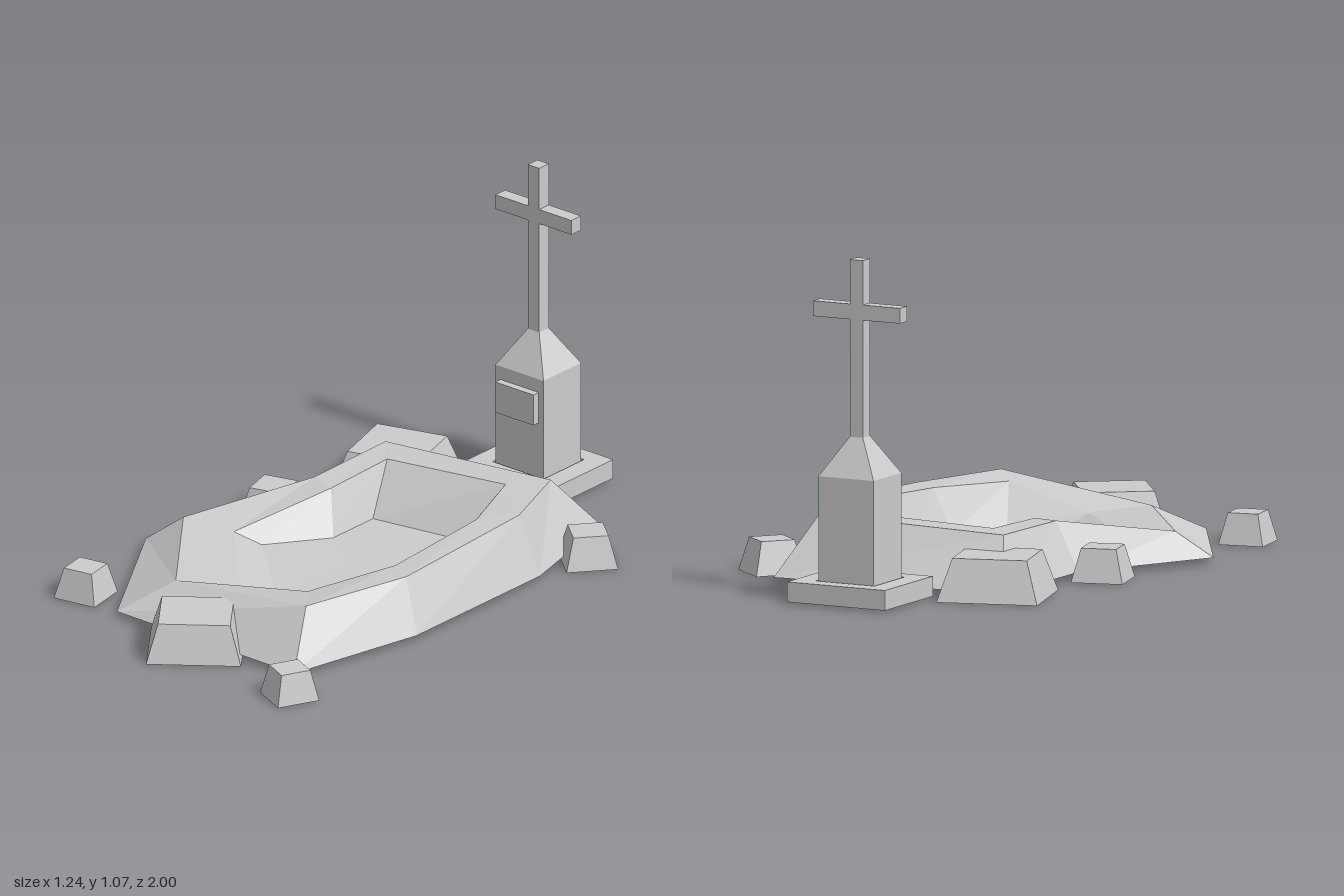
import * as THREE from 'three';

const stone = new THREE.MeshStandardMaterial({ color: 0xcccccc, flatShading: true });
const shell = new THREE.MeshStandardMaterial({ color: 0xcccccc, flatShading: true, side: THREE.DoubleSide });

function add(parent, name, geometry, x, y, z, material = stone) {
  const mesh = new THREE.Mesh(geometry, material);
  mesh.name = name;
  mesh.position.set(x, y, z);
  parent.add(mesh);
  return mesh;
}

// Box standing on y = 0 whose top is narrowed to the given width and depth
function taperedBox(w, h, d, topW, topD) {
  const g = new THREE.BoxGeometry(w, h, d).translate(0, h / 2, 0);
  const p = g.attributes.position;
  for (let i = 0; i < p.count; i++) {
    if (p.getY(i) > h / 2) {
      p.setX(i, Math.sign(p.getX(i)) * topW / 2);
      p.setZ(i, Math.sign(p.getZ(i)) * topD / 2);
    }
  }
  g.computeVertexNormals();
  return g;
}

// Mound shell: outer foot, crest, bowl rim and bowl floor, each clockwise from back left
function moundGeometry() {
  const foot = [[-0.385, 0.02, -0.62], [0.393, 0.02, -0.68], [0.497, 0.02, -0.26], [0.497, 0.02, 0.33],
    [0.393, 0.02, 0.795], [-0.33, 0.02, 0.785], [-0.62, 0.02, 0.3], [-0.385, 0.02, -0.14]];
  const crest = [[-0.3, 0.177, -0.47], [0.315, 0.202, -0.53], [0.413, 0.202, -0.26], [0.413, 0.178, 0.28],
    [0.315, 0.175, 0.645], [-0.22, 0.105, 0.633], [-0.515, 0.103, 0.245], [-0.3, 0.173, -0.13]];
  const rim = [[-0.21, 0.177, -0.37], [0.225, 0.198, -0.42], [0.327, 0.198, -0.16], [0.327, 0.175, 0.23],
    [0.225, 0.16, 0.53], [-0.06, 0.085, 0.52], [-0.35, 0.085, 0.2], [-0.21, 0.17, -0.1]];
  const floor = [[-0.15, 0.04, -0.23], [0.155, 0.04, -0.28], [0.243, 0.04, -0.1], [0.243, 0.04, 0.2],
    [0.155, 0.04, 0.39], [-0.03, 0.04, 0.38], [-0.27, 0.05, 0.16], [-0.15, 0.04, -0.04]];
  const rings = [foot, crest, rim, floor];
  const n = 8;
  const index = [];
  for (let r = 0; r < 3; r++) {
    for (let i = 0; i < n; i++) {
      const a = r * n + i, b = r * n + (i + 1) % n;
      index.push(a, a + n, b, b, a + n, b + n);
    }
  }
  // Bowl floor closed by a fan
  const centre = 4 * n;
  for (let i = 0; i < n; i++) index.push(3 * n + i, centre, 3 * n + (i + 1) % n);
  const g = new THREE.BufferGeometry();
  g.setAttribute('position', new THREE.Float32BufferAttribute([...rings.flat(2), 0.04, 0.04, 0.1], 3));
  g.setIndex(index);
  g.computeVertexNormals();
  return g;
}

// Slab with a square opening for the pillar
function plinthGeometry() {
  const square = (Path, w, d) => new Path([[-w, -d], [w, -d], [w, d], [-w, d]].map(([x, y]) => new THREE.Vector2(x, y)));
  const shape = square(THREE.Shape, 0.172, 0.155);
  shape.holes.push(square(THREE.Path, 0.103, 0.097));
  return new THREE.ExtrudeGeometry(shape, { depth: 0.063, bevelEnabled: false }).rotateX(-Math.PI / 2);
}

export function createModel() {
  const model = new THREE.Group();
  add(model, 'graveMound', moundGeometry(), 0, 0, 0, shell);

  // Loose stones: x, z, width, height, depth, turn, top scale
  const rocks = [
    [0.002, 0.8, 0.294, 0.122, 0.282, 0.64, 0.76],
    [-0.325, -0.555, 0.318, 0.133, 0.313, 0.287, 0.74],
    [0.509, -0.478, 0.162, 0.105, 0.154, 0.87, 0.68],
    [-0.515, 0.714, 0.145, 0.098, 0.143, 0.17, 0.68],
    [0.465, 0.902, 0.133, 0.098, 0.14, -0.445, 0.7],
    [-0.46, -0.122, 0.164, 0.105, 0.164, 0.26, 0.68],
  ];
  rocks.forEach(([x, z, w, h, d, turn, top], i) => {
    add(model, `rock${i + 1}`, taperedBox(w, h, d, w * top, d * top), x, 0, z).rotation.y = turn;
  });

  // Headstone
  const headstone = new THREE.Group();
  headstone.name = 'headstone';
  headstone.position.set(0, -0.003, -0.845);
  model.add(headstone);
  add(headstone, 'plinth', plinthGeometry(), 0, 0.01, 0);
  add(headstone, 'pillar', new THREE.BoxGeometry(0.194, 0.375, 0.18), 0, 0.2125, 0);
  add(headstone, 'shoulder', taperedBox(0.194, 0.12, 0.18, 0.046, 0.046), 0, 0.4, 0);
  add(headstone, 'plaque', new THREE.BoxGeometry(0.154, 0.103, 0.03), 0, 0.304, 0.1);
  add(headstone, 'crossPost', new THREE.BoxGeometry(0.046, 0.555, 0.046), 0, 0.7965, 0);
  add(headstone, 'crossBar', new THREE.BoxGeometry(0.306, 0.048, 0.046), 0, 0.911, 0);
  return model;
}
